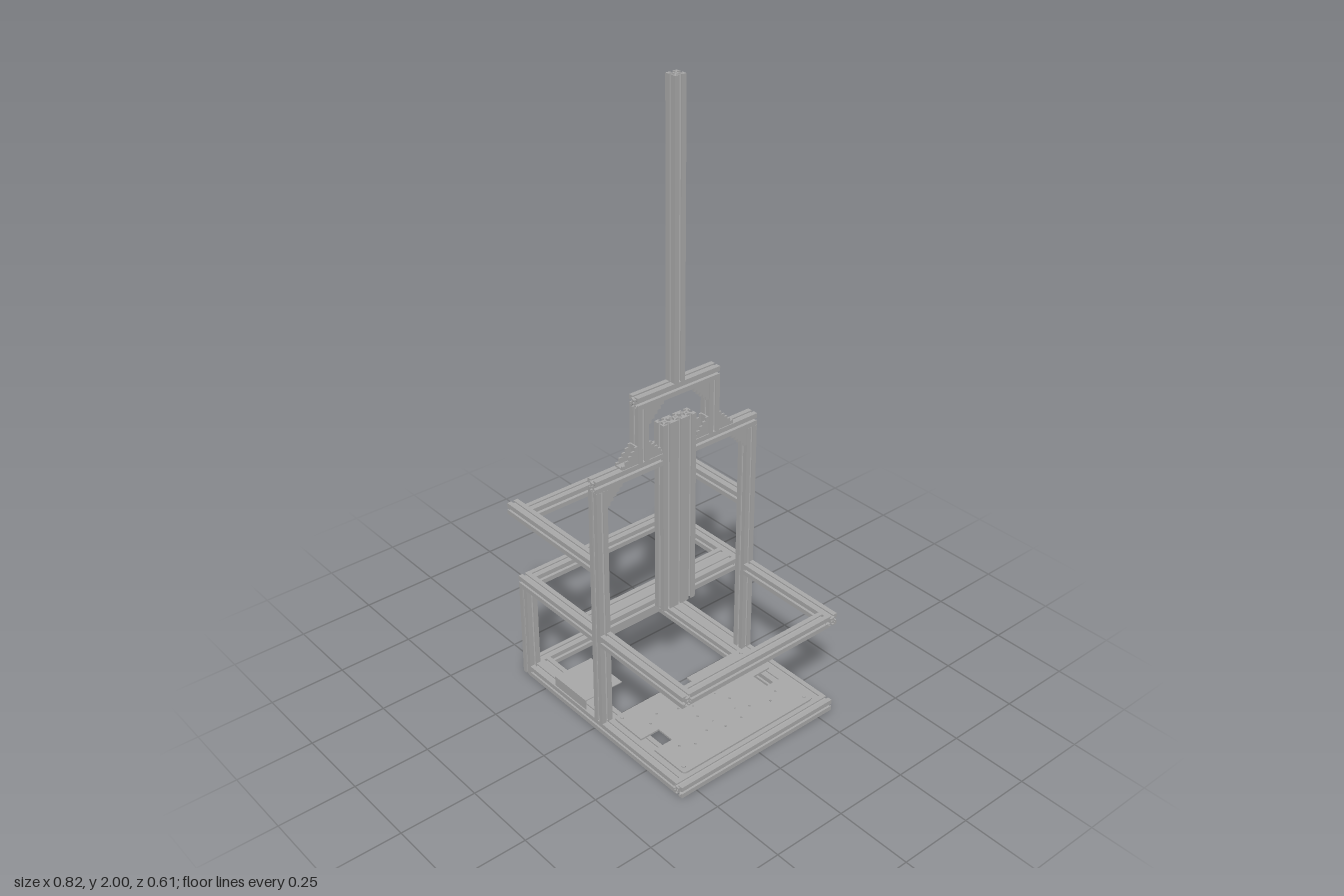
import * as THREE from 'three';

const W = 0.039;          // profile width
const H = W / 2;
const ZO = 0.306 - H;     // centre line of the outer rails
const ZI = 0.306 - W;     // inner face of the outer rails

// T-slot cross-section: one side's slot turned four times
function slotShape(w) {
  const side = [[0.5, -0.5], [0.5, -0.11], [0.39, -0.11], [0.39, -0.25], [0.33, -0.25], [0.2, -0.12],
    [0.2, 0.12], [0.33, 0.25], [0.39, 0.25], [0.39, 0.11], [0.5, 0.11]];
  const pts = [];
  for (let i = 0; i < 4; i++) {
    const c = Math.round(Math.cos(i * Math.PI / 2)), s = Math.round(Math.sin(i * Math.PI / 2));
    for (const [x, y] of side) pts.push(new THREE.Vector2((x * c - y * s) * w, (x * s + y * c) * w));
  }
  const shape = new THREE.Shape(pts);
  shape.holes.push(new THREE.Path().absarc(0, 0, 0.09 * w, 0, Math.PI * 2, true));
  return shape;
}

export function createModel() {
  const model = new THREE.Group();
  model.name = 'slottedFrame';
  const aluminium = new THREE.MeshStandardMaterial({ color: 0xa8a8a8 });
  aluminium.name = 'aluminium grey';

  function add(name, geometry, x = 0, y = 0, z = 0) {
    const mesh = new THREE.Mesh(geometry, aluminium);
    mesh.name = name;
    mesh.position.set(x, y, z);
    model.add(mesh);
    return mesh;
  }
  const box = (name, sx, sy, sz, x, y, z) => add(name, new THREE.BoxGeometry(sx, sy, sz), x, y, z);

  // Slotted bar along an axis from a to b; the other two coordinates are its centre line
  function bar(name, axis, a, b, p, q, w = W) {
    const g = new THREE.ExtrudeGeometry(slotShape(w), { depth: b - a, bevelEnabled: false, curveSegments: 3 });
    if (axis === 'x') { g.rotateY(Math.PI / 2); add(name, g, a, p, q); }
    if (axis === 'y') { g.rotateX(-Math.PI / 2); add(name, g, p, a, q); }
    if (axis === 'z') add(name, g, p, q, a);
  }

  // Stepped corner bracket in the y-z plane, opening towards (dy, dz)
  function bracket(y, z, dy, dz) {
    const size = 0.057, steps = 5, d = size / steps;
    const pts = [new THREE.Vector2(0, 0)];
    for (let i = 0; i < steps; i++) {
      pts.push(new THREE.Vector2(-dz * (size - i * d), dy * i * d));
      pts.push(new THREE.Vector2(-dz * (size - i * d), dy * (i + 1) * d));
    }
    pts.push(new THREE.Vector2(0, dy * size));
    for (const x of [0.003, H * 2 - 0.008]) {
      const g = new THREE.ExtrudeGeometry(new THREE.Shape(pts), { depth: 0.005, bevelEnabled: false });
      g.rotateY(Math.PI / 2);
      add('bracketCheek', g, x, y, z);
    }
    box('bracketFoot', W - 0.006, 0.005, size, H, y + dy * 0.0025, z + dz * size / 2);
    box('bracketLeg', W - 0.006, size, 0.005, H, y + dy * size / 2, z + dz * 0.0025);
  }

  // Parts mirrored front to back
  for (const s of [1, -1]) {
    bar('baseOuterRail', 'x', -0.331, 0.369, H, s * ZO);
    bar('baseInnerRail', 'x', -0.331, 0.369, H, s * (ZO - W));
    bar('cornerPost', 'y', 0, 0.3305, -0.35, s * ZO);
    bar('upright', 'y', W, 0.86, H, s * ZO);
    bar('middleRailShort', 'x', -0.37, 0, 0.35, s * ZO);
    bar('middleRailLong', 'x', W, 0.408, 0.35, s * ZO);
    bar('shelfRail', 'x', -0.41, 0, 0.597, s * ZO);
    if (s > 0) bar('topBeam', 'z', 0.062, 0.306, H, 0.88);
    else bar('topBeam', 'z', -0.306, -0.062, H, 0.88);
    bar('bridgePost', 'y', 0.8995, 1.0715, H, s * (0.153 - H));
    bracket(0.86, s * ZI, -1, -s);
    bracket(0.8995, s * 0.153, 1, s);
    bracket(0.8995, s * 0.114, 1, -s);
    bracket(1.0715, s * 0.114, -1, -s);
  }

  // Cross bars of the base, middle frame and shelf
  bar('baseEndBeam', 'z', -0.306, 0.306, 0.3885, H);
  bar('baseSideBeam', 'z', -ZI, ZI, -0.35, H);
  bar('middleEndBeam', 'z', -ZI, ZI, 0.3885, 0.35);
  bar('middleSideBeam', 'z', -ZI, ZI, -0.35, 0.35);
  bar('middleSupport', 'z', -ZI, ZI, -0.0615, 0.35, 0.041);
  bar('middleSupport', 'z', -ZI, ZI, -0.0205, 0.35, 0.041);
  bar('shelfBeam', 'z', -ZI, ZI, -0.35, 0.597);
  bar('shelfPost', 'y', 0.3695, 0.5775, -0.35, 0);

  // Column panel, bridge and mast
  for (const i of [-1, 0, 1]) bar('columnPanel', 'y', 0.345, 0.99, H, i * 0.0413, 0.0413);
  bar('bridgeBeam', 'z', -0.153, 0.153, H, 1.091);
  bar('mast', 'y', 1.1105, 2, H, 0);

  // Base plate with notches, rounded corners and drilled holes
  const x0 = 0.041, x1 = 0.369, z1 = 0.264, r = 0.015, cx = 0.203, n = 0.031;
  const plate = new THREE.Shape();
  plate.moveTo(x0 + r, -z1);
  plate.lineTo(cx - n, -z1).lineTo(cx - n, -0.195).lineTo(cx + n, -0.195).lineTo(cx + n, -z1);
  plate.lineTo(x1 - r, -z1).quadraticCurveTo(x1, -z1, x1, -z1 + r);
  plate.lineTo(x1, z1 - r).quadraticCurveTo(x1, z1, x1 - r, z1);
  plate.lineTo(cx + n, z1).lineTo(cx + n, 0.195).lineTo(cx - n, 0.195).lineTo(cx - n, z1);
  plate.lineTo(x0 + r, z1).quadraticCurveTo(x0, z1, x0, z1 - r);
  plate.lineTo(x0, 0.031).lineTo(0.069, 0.031).lineTo(0.069, -0.031).lineTo(x0, -0.031);
  plate.lineTo(x0, -z1 + r).quadraticCurveTo(x0, -z1, x0 + r, -z1);
  const drill = (x, y, radius) =>
    plate.holes.push(new THREE.Path().absarc(x, y, radius, 0, Math.PI * 2, true));
  for (const sy of [1, -1]) {
    drill(cx, sy * 0.066, 0.004);
    for (const sx of [1, -1]) {
      for (const [dx, dy, radius] of [[0.066, 0.197, 0.004], [0.09, 0.154, 0.004], [0.066, 0.088, 0.004],
        [0.09, 0.031, 0.004], [0.046, 0.046, 0.0025]]) drill(cx + sx * dx, sy * dy, radius);
      // Plate screws
      const sxPos = cx + sx * 0.1435;
      add('plateScrew', new THREE.CylinderGeometry(0.006, 0.006, 0.003, 16), sxPos, 0.0465, sy * 0.246);
    }
  }
  const plateGeometry = new THREE.ExtrudeGeometry(plate, { depth: 0.006, bevelEnabled: false, curveSegments: 6 });
  plateGeometry.rotateX(-Math.PI / 2);
  add('basePlate', plateGeometry, 0, W, 0);

  // Small angled shelf at the front
  box('traySheet', 0.155, 0.003, 0.141, -0.1175, 0.0805, 0.2365);
  box('trayFlange', 0.155, 0.034, 0.003, -0.1175, 0.065, 0.3065);

  return model;
}
